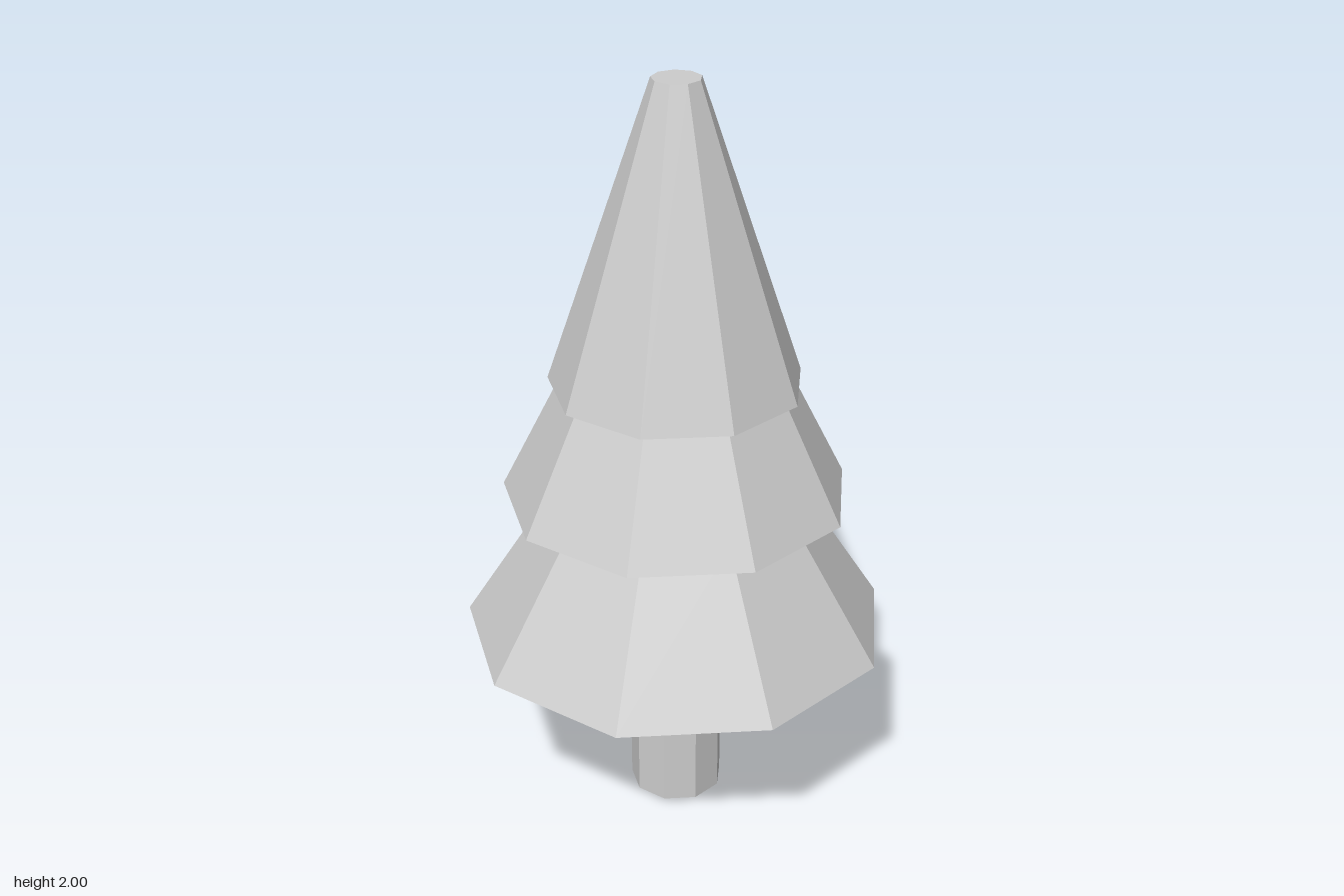
import * as THREE from 'three';

const SIDES = 9;

export function createModel() {
  const group = new THREE.Group();
  group.name = 'pineTree';
  const grey = new THREE.MeshStandardMaterial({ color: 0xcccccc });
  grey.name = 'lightGrey';
  grey.flatShading = true;

  // Nine-sided frustum with one corner pointing to the back
  function frustum(name, bottomRadius, topRadius, bottom, top) {
    const geometry = new THREE.CylinderGeometry(
      topRadius, bottomRadius, top - bottom, SIDES, 1, false, Math.PI);
    const mesh = new THREE.Mesh(geometry, grey);
    mesh.name = name;
    mesh.position.set(0, (bottom + top) / 2, 0.017);
    group.add(mesh);
  }

  // Trunk, then three stacked tiers of foliage
  frustum('trunk', 0.125, 0.125, 0, 0.515);
  frustum('lowerFoliage', 0.563, 0.315, 0.515, 0.905);
  frustum('middleFoliage', 0.453, 0.298, 0.905, 1.215);
  frustum('upperFoliage', 0.328, 0.062, 1.215, 2);

  return group;
}
